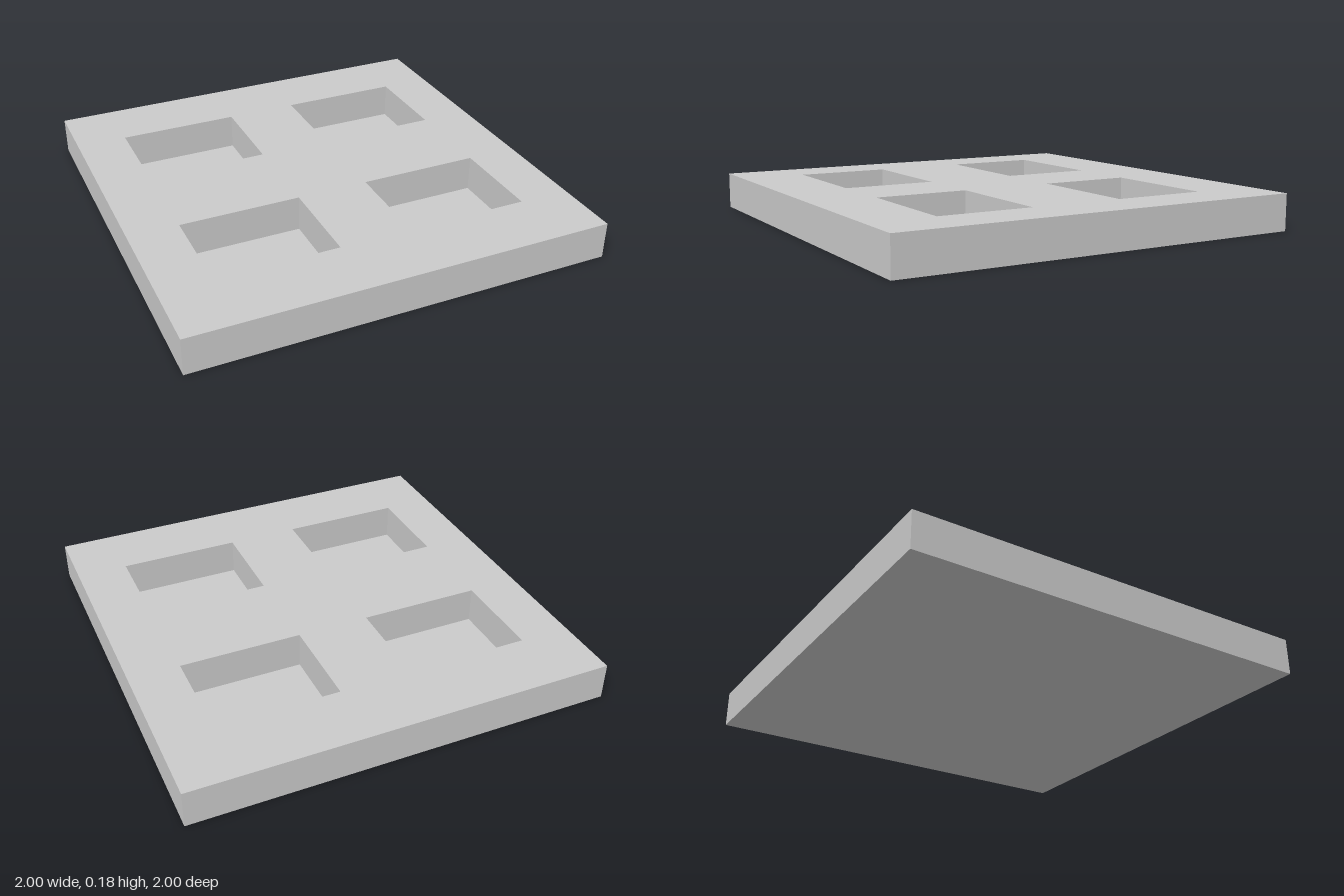
import * as THREE from 'three';

const SIZE = 2, HEIGHT = 0.177, FLOOR = 0.003;
// Pocket centre and size; mirrored into all four quadrants
const POCKET = { x: 0.465, z: 0.455, w: 0.583, d: 0.455 };

function rectangle(PathType, cx, cy, w, h) {
  const x = w / 2, y = h / 2;
  return new PathType([[-x, -y], [x, -y], [x, y], [-x, y]]
    .map(([px, py]) => new THREE.Vector2(cx + px, cy + py)));
}

export function createModel() {
  const model = new THREE.Group();
  model.name = 'pocketedSlab';
  const material = new THREE.MeshStandardMaterial({ color: 0xcccccc, flatShading: true });

  // Square slab with four rectangular openings
  const outline = rectangle(THREE.Shape, 0, 0, SIZE, SIZE);
  for (const sx of [-1, 1])
    for (const sz of [-1, 1])
      outline.holes.push(rectangle(THREE.Path, sx * POCKET.x, sz * POCKET.z, POCKET.w, POCKET.d));
  const slabGeometry = new THREE.ExtrudeGeometry(outline, { depth: HEIGHT - FLOOR, bevelEnabled: false });
  slabGeometry.rotateX(-Math.PI / 2).translate(0, FLOOR, 0);
  const slab = new THREE.Mesh(slabGeometry, material);
  slab.name = 'slab';

  // Thin plate closing the pockets underneath
  const base = new THREE.Mesh(new THREE.BoxGeometry(SIZE, FLOOR, SIZE), material);
  base.name = 'pocketFloor';
  base.position.y = FLOOR / 2;

  model.add(slab, base);
  return model;
}
